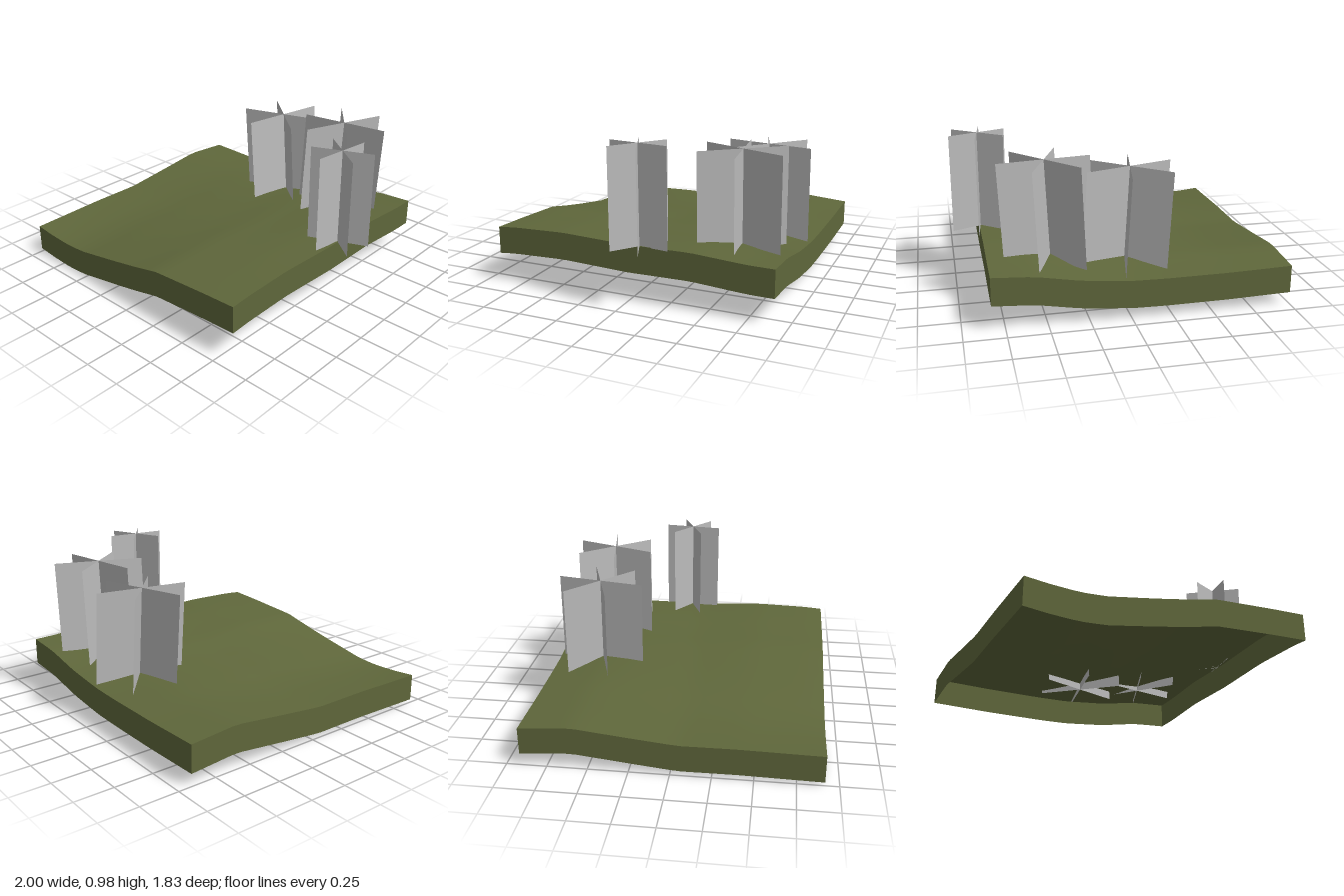
import * as THREE from 'three';

const X0 = -1, X1 = 0.83, Z0 = -0.915, Z1 = 0.915, SKIRT = 0.175, N = 26;

// Edge height profiles as [position, height] knots
const front = [[-1, 0.2], [-0.85, 0.185], [-0.68, 0.176], [-0.52, 0.186], [-0.2, 0.243], [0, 0.282], [0.2, 0.326], [0.6, 0.35], [0.83, 0.36]];
const back = [[-1, 0.255], [-0.6, 0.245], [-0.2, 0.243], [0, 0.247], [0.3, 0.275], [0.58, 0.325], [0.83, 0.34]];
const left = [[-0.915, 0.255], [-0.6, 0.28], [-0.25, 0.24], [0.05, 0.208], [0.4, 0.21], [0.915, 0.2]];
const right = [[-0.915, 0.34], [-0.75, 0.342], [-0.4, 0.366], [0, 0.362], [0.45, 0.38], [0.8, 0.37], [0.915, 0.36]];

function sample(knots, p) {
  let i = 0;
  while (i < knots.length - 2 && p > knots[i + 1][0]) i++;
  const [a, ha] = knots[i], [b, hb] = knots[i + 1];
  return ha + (hb - ha) * (p - a) / (b - a);
}

// Blend the four edge profiles into one surface, with a soft rise in the middle
function height(x, z) {
  const u = (x - X0) / (X1 - X0), v = (z - Z0) / (Z1 - Z0), mix = THREE.MathUtils.lerp;
  const across = mix(sample(back, x), sample(front, x), v);
  const along = mix(sample(left, z), sample(right, z), u);
  const corners = mix(mix(0.255, 0.34, u), mix(0.2, 0.36, u), v);
  const rise = 0.02 * Math.sin(Math.PI * u) * Math.sin(Math.PI * v);
  return across + along - corners + rise;
}

function buildGround(material) {
  const ground = new THREE.Group();
  ground.name = 'ground';

  // Rolling top surface
  const geo = new THREE.PlaneGeometry(X1 - X0, Z1 - Z0, N, N);
  geo.rotateX(-Math.PI / 2);
  geo.translate((X0 + X1) / 2, 0, 0);
  const p = geo.attributes.position;
  for (let i = 0; i < p.count; i++) p.setY(i, height(p.getX(i), p.getZ(i)));
  geo.computeVertexNormals();
  const top = new THREE.Mesh(geo, material);
  top.name = 'groundTop';
  ground.add(top);

  // Skirt wall hanging from each edge; the underside stays open
  const sides = [
    ['frontSkirt', X0, Z1, X1, Z1], ['rightSkirt', X1, Z1, X1, Z0],
    ['backSkirt', X1, Z0, X0, Z0], ['leftSkirt', X0, Z0, X0, Z1],
  ];
  for (const [name, xa, za, xb, zb] of sides) {
    const wall = new THREE.PlaneGeometry(1, 1, N, 1);
    const w = wall.attributes.position;
    for (let i = 0; i < w.count; i++) {
      const t = w.getX(i) + 0.5;
      const x = xa + (xb - xa) * t, z = za + (zb - za) * t;
      w.setXYZ(i, x, height(x, z) - (w.getY(i) < 0 ? SKIRT : 0), z);
    }
    wall.computeVertexNormals();
    const mesh = new THREE.Mesh(wall, material);
    mesh.name = name;
    ground.add(mesh);
  }
  return ground;
}

// Three upright cards crossing at a shared axis, sheared to lean at the top
function buildClump({ x, z, bottom, top, radius, angles, lean }, material) {
  const clump = new THREE.Group();
  clump.name = 'crossedPlant';
  const h = top - bottom;
  for (const degrees of angles) {
    const card = new THREE.PlaneGeometry(radius * 2, h);
    card.rotateY(THREE.MathUtils.degToRad(degrees));
    card.translate(0, h / 2, 0);
    const p = card.attributes.position;
    for (let i = 0; i < p.count; i++) {
      const t = p.getY(i) / h;
      p.setX(i, p.getX(i) + lean[0] * t);
      p.setZ(i, p.getZ(i) + lean[1] * t);
    }
    card.computeVertexNormals();
    const mesh = new THREE.Mesh(card, material);
    mesh.name = 'plantCard';
    clump.add(mesh);
  }
  clump.position.set(x, bottom, z);
  return clump;
}

export function createModel() {
  const olive = new THREE.MeshStandardMaterial({ color: 0x5f673b, side: THREE.DoubleSide });
  olive.name = 'olive ground';
  const grey = new THREE.MeshStandardMaterial({ color: 0xbcbcbc, side: THREE.DoubleSide });
  grey.name = 'light grey';

  const model = new THREE.Group();
  model.name = 'groundPatch';
  model.add(buildGround(olive));

  const clumps = [
    { x: -0.02, z: -0.605, bottom: 0.235, top: 0.855, radius: 0.295, angles: [18, -41, 79], lean: [-0.036, 0.012] },
    { x: 0.437, z: -0.588, bottom: 0.295, top: 0.925, radius: 0.29, angles: [9, -51, 69], lean: [0.03, -0.005] },
    { x: 0.82, z: -0.075, bottom: 0.36, top: 0.985, radius: 0.195, angles: [23, -37, 83], lean: [0, 0.004] },
  ];
  for (const c of clumps) model.add(buildClump(c, grey));
  return model;
}
